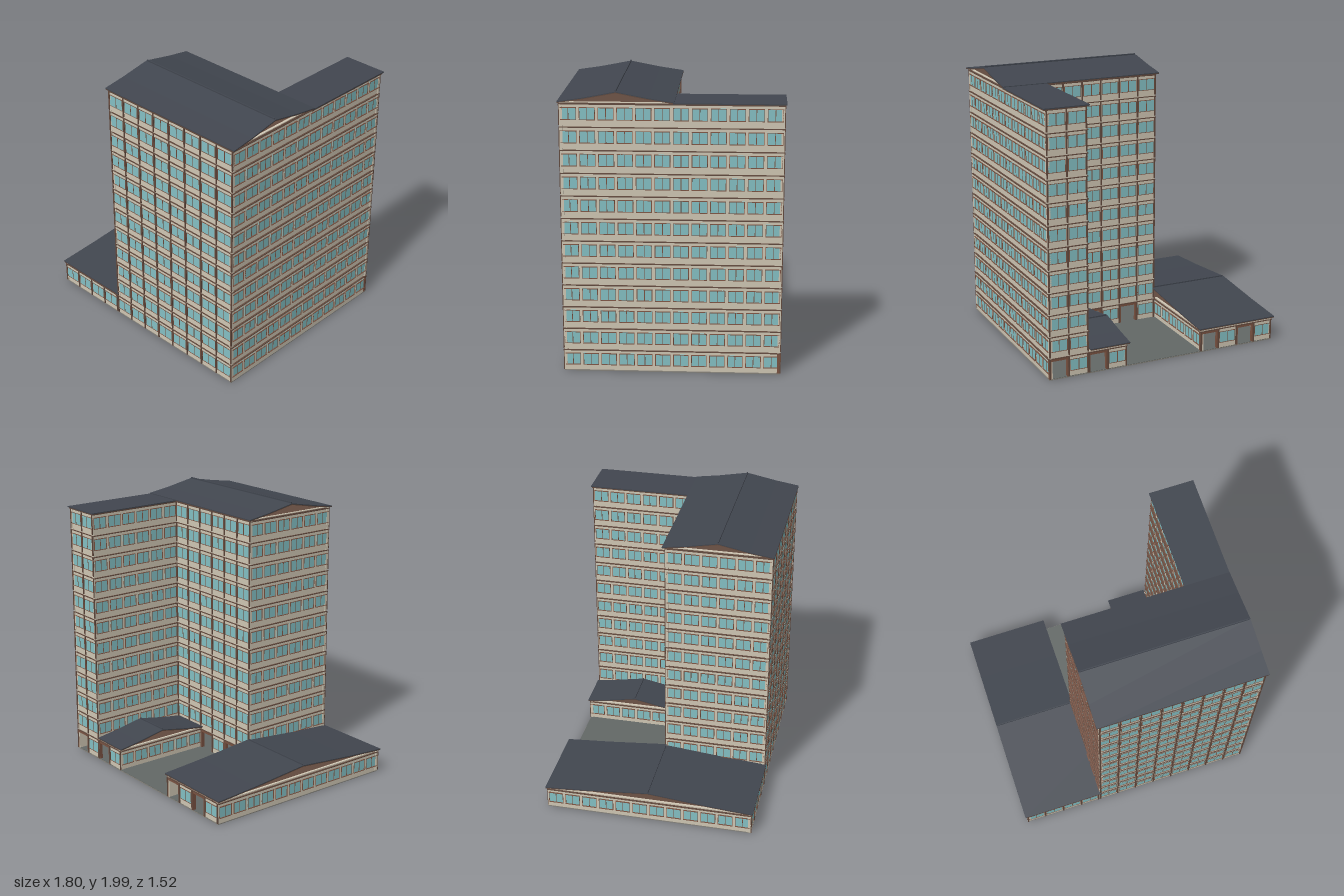
import * as THREE from 'three';
import { mergeGeometries } from 'three/addons/utils/BufferGeometryUtils.js';

const mat = (name, color) => {
  const m = new THREE.MeshStandardMaterial({ color });
  m.name = name;
  return m;
};

const H = 0.1583;            // storey height
const BX = 1.76 / 12;        // bay width on front and back
const BZ = 0.125;            // bay width on the sides

export function createModel() {
  const M = {
    wall: mat('stone wall', 0xd0c7b4),
    glass: mat('window glass', 0x84c0c4),
    frame: mat('window frame', 0x7a5241),
    timber: mat('dark timber', 0x624a3e),
    roof: mat('slate roof', 0x41464f),
    paving: mat('paving', 0x636866),
    base: mat('base stone', 0x85827a),
  };
  const model = new THREE.Group();
  model.name = 'building';

  const box = (x0, x1, y0, y1, z0, z1) => {
    const g = new THREE.BoxGeometry(x1 - x0, y1 - y0, z1 - z0);
    return g.translate((x0 + x1) / 2, (y0 + y1) / 2, (z0 + z1) / 2);
  };
  const add = (parent, name, geo, material) => {
    const mesh = new THREE.Mesh(geo, material);
    mesh.name = name;
    parent.add(mesh);
    return mesh;
  };

  // One facade: local x runs along the wall, local z points outwards
  function facade(name, x, z, angle, bays, width, from, to, posts, isOpen = () => false) {
    const parts = { wall: [], glass: [], frame: [], timber: [] };
    const len = bays * width;
    const proud = posts ? 0.004 : 0.009;
    for (let k = from; k < to; k++) {
      const y = k * H + 0.008;
      // Projecting ledge above the windows, recessed joint between storeys
      parts.timber.push(box(0, len, y + 0.143, y + 0.149, -0.02, proud));
      parts.wall.push(box(0, len, y + 0.149, y + H, -0.02, -0.003));
      for (let i = 0; i < bays; i++) {
        const a = i * width, b = a + width;
        if (k === 0 && isOpen(i)) {
          // Open entrance with timber surround
          parts.frame.push(box(a, a + 0.014, y, y + 0.143, -0.02, 0.003));
          parts.frame.push(box(b - 0.014, b, y, y + 0.143, -0.02, 0.003));
          parts.frame.push(box(a + 0.014, b - 0.014, y + 0.128, y + 0.143, -0.02, 0.003));
          continue;
        }
        parts.wall.push(box(a, b, y, y + 0.143, -0.02, 0));
        // Window
        const l = a + 0.009, r = b - 0.009, s = y + 0.037, t = y + 0.123, c = (l + r) / 2;
        parts.glass.push(box(l, r, s, t, 0, 0.002));
        parts.frame.push(box(l, r, t - 0.004, t, 0, proud), box(l, r, s, s + 0.004, 0, proud));
        for (const e of [l + 0.002, c, r - 0.002]) {
          parts.frame.push(box(e - 0.002, e + 0.002, s + 0.004, t - 0.004, 0, 0.004));
        }
      }
      if (posts) {
        for (let i = 0; i <= bays; i++) {
          const p = Math.min(Math.max(i * width, 0.005), len - 0.005);
          parts.timber.push(box(p - 0.005, p + 0.005, y, y + 0.148, -0.002, 0.006));
        }
      }
    }
    const group = new THREE.Group();
    group.name = name;
    for (const key in parts) {
      if (parts[key].length) add(group, `${name} ${key}`, mergeGeometries(parts[key]), M[key]);
    }
    group.position.set(x, 0, z);
    group.rotation.y = angle;
    model.add(group);
  }

  // Gable roof with slightly kicked eaves, ridge along x, ends left open
  function gableRoof(name, x0, x1, zMid, half, eave, rise) {
    const line = [[-1, 0], [-0.57, 0.37], [0, 1], [0.57, 0.37], [1, 0]];
    const group = new THREE.Group();
    group.name = name;
    const sheet = (label, bottom, top, inset, material) => {
      const pt = ([u, v], dy) => new THREE.Vector2(u * half, eave + v * rise + dy);
      const shape = new THREE.Shape([
        ...line.map(p => pt(p, bottom)),
        ...line.slice().reverse().map(p => pt(p, top)),
      ]);
      const geo = new THREE.ExtrudeGeometry(shape, { depth: x1 - x0 - 2 * inset, bevelEnabled: false });
      geo.rotateY(Math.PI / 2).translate(x0 + inset, 0, zMid);
      add(group, label, geo, material);
    };
    sheet('roof slates', -0.006, 0, 0, M.roof);
    sheet('roof boarding', -0.012, -0.006, 0.002, M.timber);
    add(group, 'ridge cap', box(x0 + 0.008, x1 - 0.008, eave + rise - 0.006, eave + rise + 0.009,
      zMid - 0.004, zMid + 0.004), M.roof);
    model.add(group);
  }

  const X = 0.876, Z = 0.748, xi = 0.88 - 2 * BX;
  const xL = -0.88 + 4 * BX, xM = 0.88 - 4 * BX;   // courtyard edges
  const alternate = i => i % 2 === 0;

  // Base and paving
  add(model, 'base', box(-0.88, 0.88, 0, 0.006, -0.75, 0.75), M.base);
  add(model, 'paving', box(-0.87, 0.87, 0.006, 0.009, -0.748, 0.74), M.paving);

  // Tower facades
  facade('tower front', xL, Z, 0, 8, BX, 0, 12, true);
  facade('tower right side', X, 0.75, Math.PI / 2, 12, BZ, 0, 12, false);
  facade('tower wing back', 0.88, -Z, Math.PI, 2, BX, 0, 12, true, alternate);
  facade('tower wing inner side', xi, -0.75, -Math.PI / 2, 6, BZ, 1, 12, false);
  facade('tower back', xi, 0, Math.PI, 6, BX, 1, 12, true);
  facade('tower left side', xL + 0.004, 0, -Math.PI / 2, 6, BZ, 1, 12, false);
  facade('courtyard ground wall', xM, 0, Math.PI, 4, BX, 0, 1, true, alternate);

  // Low wing facades
  facade('low wing front', -0.886, Z, 0, 4, BX, 0, 1, true);
  facade('low wing outer side', -0.88, -0.75, -Math.PI / 2, 12, BZ, 0, 1, false);
  facade('low wing back', xL, -Z, Math.PI, 4, BX, 0, 1, true, alternate);
  facade('low wing court side', xL - 0.005, 0, Math.PI / 2, 6, BZ, 0, 1, false);

  // Annex facades
  facade('annex back', xi, -Z, Math.PI, 2, BX, 0, 1, true, alternate);
  facade('annex court side', xM + 0.005, -0.75, -Math.PI / 2, 6, BZ, 0, 1, false);

  // Ceilings above the ground floor
  const ceilings = [
    [-0.87, xL - 0.01, -0.74, 0.74], [xM + 0.01, 0.87, -0.74, 0.01], [xL - 0.01, 0.87, 0.01, 0.74],
  ].map(([a, b, c, d]) => box(a, b, 0.15, 0.158, c, d));
  add(model, 'ground floor ceilings', mergeGeometries(ceilings), M.timber);

  // Top ceiling and the flat roof of the tall wing
  add(model, 'tower ceiling', box(xL, 0.88, 1.89, 1.902, 0, 0.75), M.timber);
  add(model, 'wing roof boarding', box(0.575, 0.893, 1.893, 1.903, -0.755, 0), M.timber);
  add(model, 'wing flat roof', box(0.57, 0.898, 1.903, 1.91, -0.762, -0.01), M.roof);

  // Gable roofs
  gableRoof('tower roof', -0.312, 0.898, 0.37, 0.39, 1.915, 0.068);
  gableRoof('low wing roof', -0.9, -0.28, 0, 0.76, 0.182, 0.066);
  gableRoof('annex roof', 0.272, 0.575, -0.378, 0.382, 0.182, 0.066);

  return model;
}
